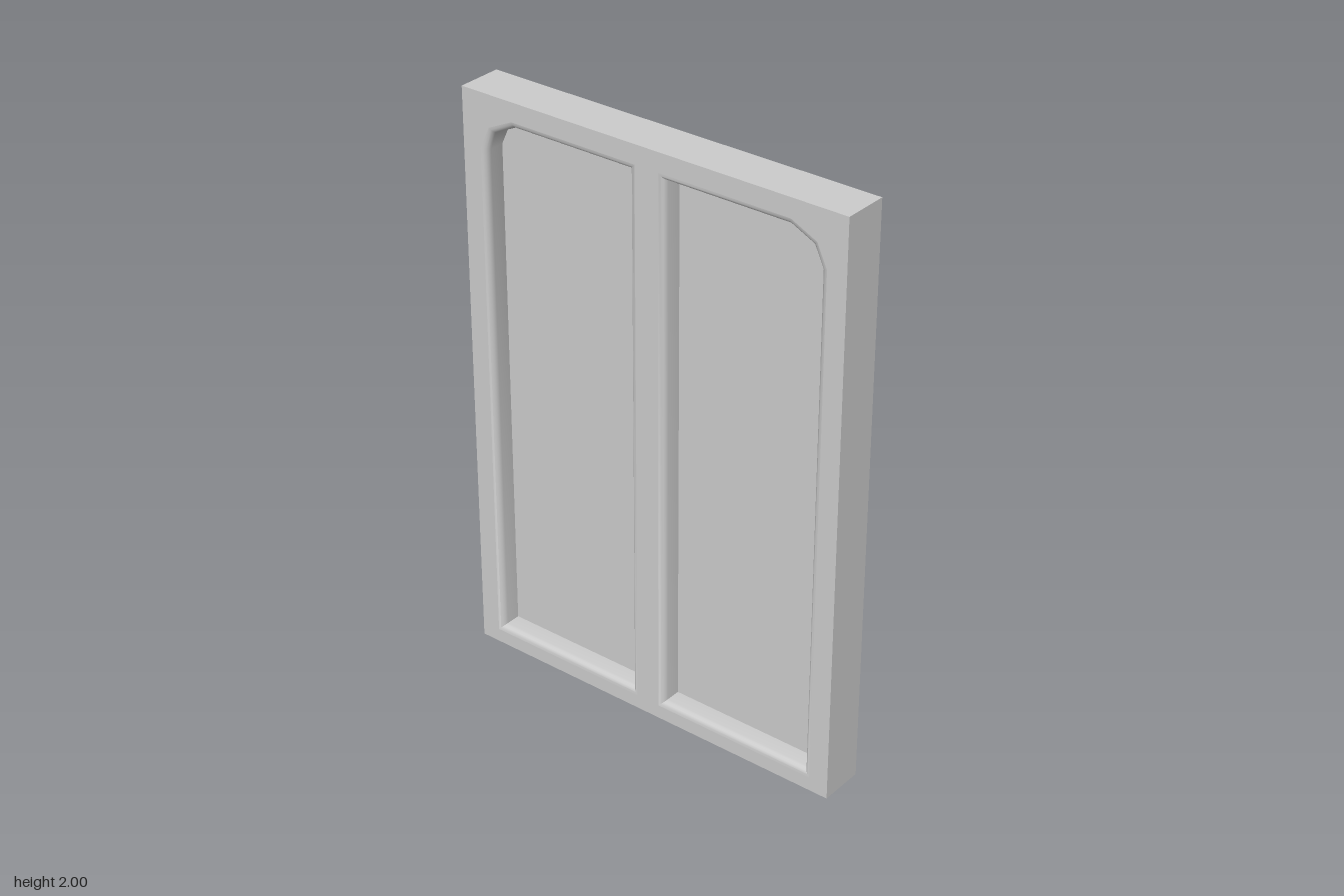
import * as THREE from 'three';
import { toCreasedNormals } from 'three/addons/utils/BufferGeometryUtils.js';

const W = 0.71, H = 2, Z = 0.078;   // half width, height, half depth
const R = 0.022;                    // rounding of the opening edges
const V = (x, y) => new THREE.Vector2(x, y);

// Outline grown outward by d (counter-clockwise points, mitred corners)
function grow(points, d) {
  const n = points.length;
  return points.map((p, i) => {
    const a = p.clone().sub(points[(i + n - 1) % n]).normalize();
    const b = points[(i + 1) % n].clone().sub(p).normalize();
    const m = V(a.y + b.y, -a.x - b.x);
    return p.clone().addScaledVector(m, d / (1 + a.dot(b)));
  });
}

// Surface through closed rings of equal length; each ring is { points, z }
function loft(rings) {
  const pos = [], idx = [], n = rings[0].points.length;
  rings.forEach(({ points, z }) => points.forEach(p => pos.push(p.x, p.y, z)));
  for (let k = 0; k < rings.length - 1; k++) {
    for (let i = 0; i < n; i++) {
      const j = (i + 1) % n;
      const a = k * n + i, b = k * n + j, c = b + n, d = a + n;
      idx.push(a, b, c, a, c, d);
    }
  }
  const geo = new THREE.BufferGeometry();
  geo.setAttribute('position', new THREE.Float32BufferAttribute(pos, 3));
  geo.setIndex(idx);
  return toCreasedNormals(geo, 0.8);
}

export function createModel() {
  const model = new THREE.Group();
  model.name = 'doublePanelWindow';
  const material = new THREE.MeshStandardMaterial({ color: 0xcccccc });
  const add = (name, geo, parent = model) => {
    const mesh = new THREE.Mesh(geo, material);
    mesh.name = name;
    parent.add(mesh);
    return mesh;
  };

  // Openings, each with a faceted upper outer corner
  const left = [V(0.065, 0.07), V(0.62, 0.07), V(0.62, 1.81),
    V(0.59, 1.875), V(0.51, 1.913), V(0.065, 1.913)];
  const right = left.map(p => V(-p.x, p.y)).reverse();
  const openings = { left, right };

  // Frame: outer edge and the two pierced faces
  const frame = new THREE.Group();
  frame.name = 'frame';
  model.add(frame);
  const rim = [V(-W, 0), V(W, 0), V(W, H), V(-W, H)];
  add('outerEdge', loft([{ points: rim, z: -Z }, { points: rim, z: Z }]), frame);
  const face = new THREE.Shape(rim);
  for (const o of Object.values(openings)) face.holes.push(new THREE.Path(grow(o, R)));
  for (const side of ['front', 'back']) {
    const mesh = add(side + 'Face', new THREE.ShapeGeometry(face), frame);
    mesh.position.z = side === 'front' ? Z : -Z;
    if (side === 'back') mesh.rotation.y = Math.PI;
  }

  for (const [name, o] of Object.entries(openings)) {
    // Reveal with rounded edges on both faces
    const front = [], steps = 4;
    for (let i = 0; i <= steps; i++) {
      const t = (i / steps) * Math.PI / 2;
      front.push({ points: grow(o, R * (1 - Math.sin(t))), z: Z - R * (1 - Math.cos(t)) });
    }
    const back = front.map(r => ({ points: r.points, z: -r.z })).reverse();
    add(name + 'Reveal', loft([...front, ...back]), frame);

    // Thin panel set in the middle of the frame
    const panel = new THREE.ExtrudeGeometry(new THREE.Shape(o), { depth: 0.01, bevelEnabled: false });
    panel.translate(0, 0, -0.005);
    add(name + 'Panel', panel);
  }
  return model;
}
